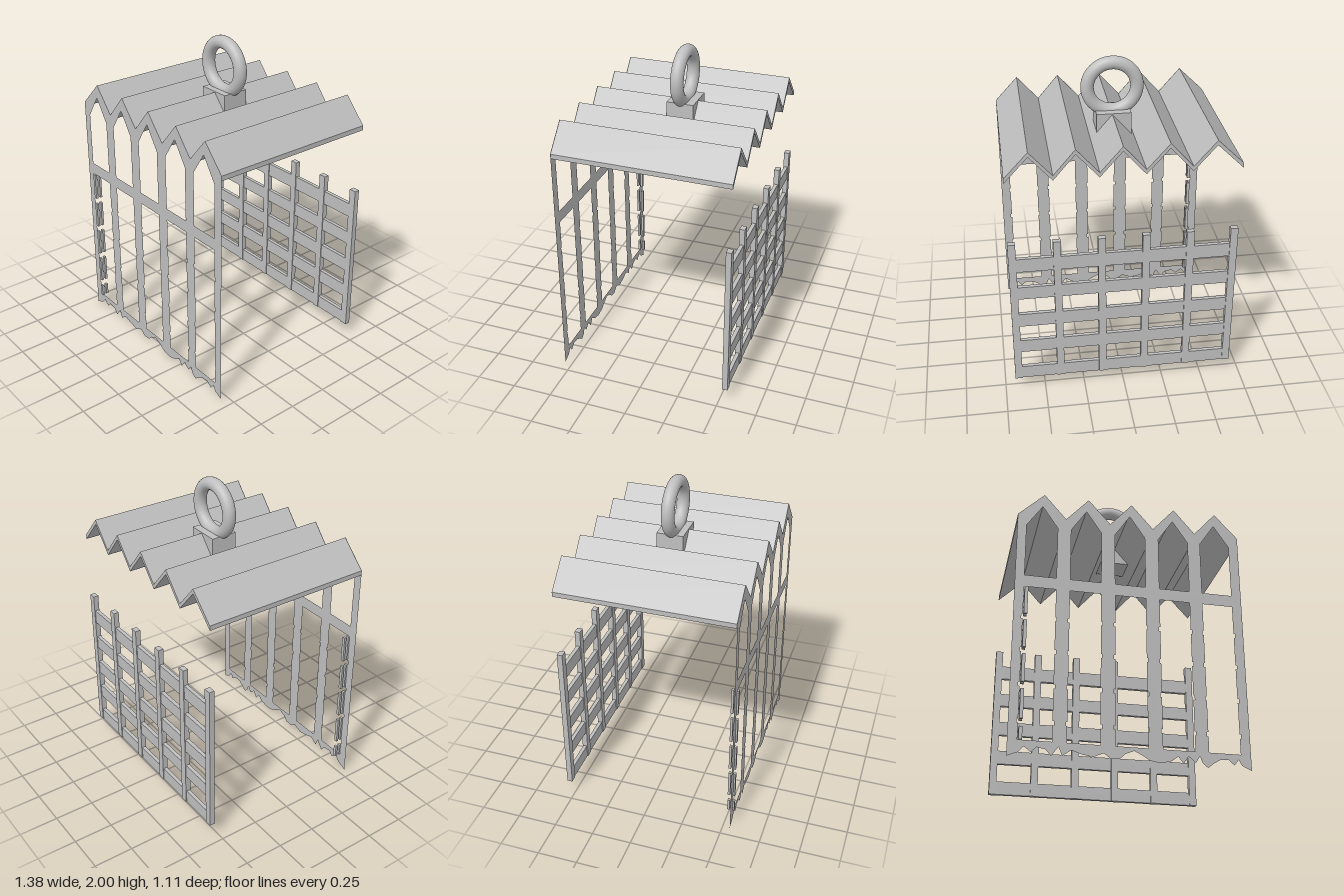
import * as THREE from 'three';

export function createModel() {
  const root = new THREE.Group();
  const grey = new THREE.MeshStandardMaterial({ color: 0xbfbfbf, side: THREE.DoubleSide });
  grey.name = 'plain grey';

  const add = (name, geometry, x = 0, y = 0, z = 0, parent = root) => {
    const mesh = new THREE.Mesh(geometry, grey);
    mesh.name = name;
    mesh.position.set(x, y, z);
    parent.add(mesh);
    return mesh;
  };
  // box given by its limits on each axis
  const box = (name, x0, x1, y0, y1, z0, z1, parent) =>
    add(name, new THREE.BoxGeometry(x1 - x0, y1 - y0, z1 - z0),
      (x0 + x1) / 2, (y0 + y1) / 2, (z0 + z1) / 2, parent);
  const group = (name) => {
    const g = new THREE.Group();
    g.name = name;
    root.add(g);
    return g;
  };
  const toShape = (pts) => new THREE.Shape(pts.map(([x, y]) => new THREE.Vector2(x, y)));

  // zigzag shared by the roof and the top of the front wall
  const ridge = [
    [-0.69, 1.51], [-0.532, 1.665], [-0.397, 1.51], [-0.26, 1.665], [-0.125, 1.51], [0.01, 1.665],
    [0.143, 1.51], [0.278, 1.665], [0.408, 1.51], [0.543, 1.665], [0.685, 1.51],
  ];

  // folded roof
  const underside = ridge.map(([x, y]) => [x, y - 0.03]).reverse();
  add('foldedRoof', new THREE.ExtrudeGeometry(toShape([...ridge, ...underside]),
    { depth: 1.09, bevelEnabled: false }), 0, 0, -0.546);

  // front wall: a thin sheet with a ragged lower edge
  const ragged = [
    [0.685, 0.005], [0.63, 0.03], [0.61, 0.065], [0.585, 0.03], [0.55, 0.06], [0.5, 0.055], [0.46, 0.03],
    [0.43, 0.005], [0.4, 0.03], [0.385, 0.07], [0.36, 0.03], [0.32, 0.065], [0.29, 0.02], [0.26, 0.06],
    [0.22, 0.03], [0.16, 0.015], [0.1, 0.025], [0.06, 0.05], [0.01, 0.075], [-0.04, 0.055], [-0.07, 0.025],
    [-0.12, 0.02], [-0.16, 0.05], [-0.22, 0.025], [-0.28, 0.035], [-0.34, 0.055], [-0.39, 0.02],
    [-0.41, 0.07], [-0.45, 0.015], [-0.48, 0.05], [-0.53, 0.06], [-0.56, 0.03], [-0.6, 0.06],
    [-0.63, 0.025], [-0.69, 0],
  ];
  const wall = toShape([...ridge, ...ragged]);
  const bays = [[-0.635, -0.447], [-0.365, -0.18], [-0.095, 0.09], [0.175, 0.36], [0.44, 0.625]];
  const slots = [[0.19, 0.215], [0.405, 0.43], [0.615, 0.64], [0.82, 0.845]];
  for (const [l, r] of bays) {
    // pointed upper window
    wall.holes.push(toShape([[l, 1.1], [r, 1.1], [r, 1.44], [(l + r) / 2, 1.58], [l, 1.44]]));
    // lower opening with small notches cut into both posts
    const right = [[r, 0.095]], left = [[l, 0.095]];
    for (const [a, b] of slots) {
      right.push([r, a], [r + 0.008, a], [r + 0.008, b], [r, b]);
      left.push([l, a], [l - 0.008, a], [l - 0.008, b], [l, b]);
    }
    right.push([r, 1.025]);
    left.push([l, 1.025]);
    wall.holes.push(toShape([...right, ...left.reverse()]));
  }
  add('frontWall', new THREE.ShapeGeometry(wall), 0, 0, 0.546);

  // short upright bars at one side of the front wall
  const bars = group('sideBars');
  for (const [y0, y1] of [[0.095, 0.17], [0.215, 0.39], [0.43, 0.6], [0.64, 0.81], [0.85, 1.02]]) {
    box('outerBar', -0.63, -0.61, y0, y1, 0.54, 0.555, bars);
    box('innerBar', -0.63, -0.61, y0, y1, 0.51, 0.525, bars);
  }

  // back fence: six posts and five rails
  const fence = group('backFence');
  for (let i = 0; i < 6; i++) {
    const x = -0.664 + i * 0.2656;
    box('fencePost', x - 0.023, x + 0.023, 0.085, 1.075, -0.55, -0.516, fence);
  }
  for (const [y0, y1] of [[0.085, 0.17], [0.287, 0.375], [0.483, 0.573], [0.685, 0.77], [0.88, 0.97]]) {
    box('fenceRail', -0.68, 0.68, y0, y1, -0.545, -0.521, fence);
  }

  // hanging ring on its block
  box('ringBlock', -0.105, 0.105, 1.53, 1.67, -0.118, 0.05);
  add('hangingRing', new THREE.TorusGeometry(0.15, 0.04, 24, 64), 0, 1.81, -0.031);

  return root;
}
